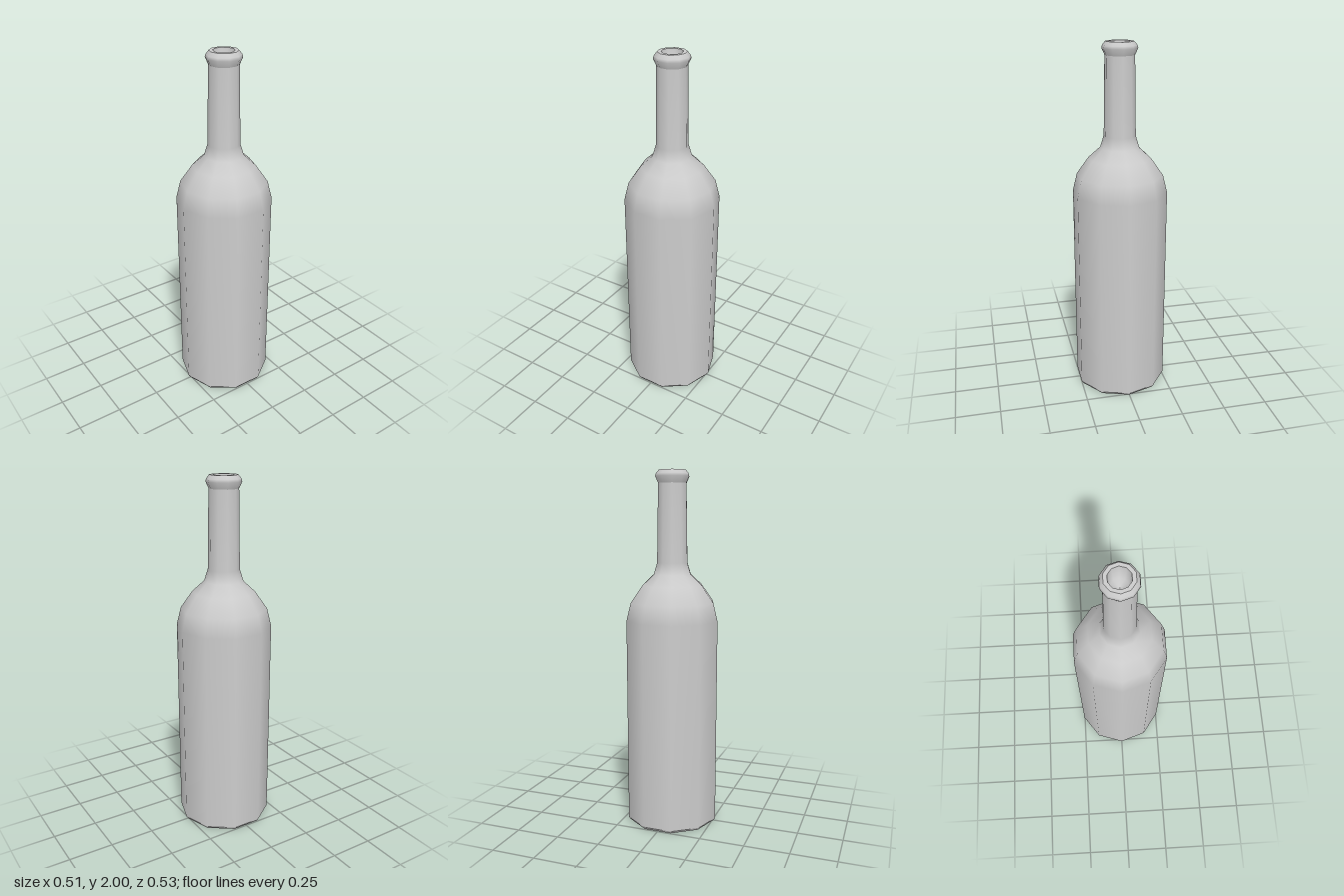
import * as THREE from 'three';

const SIDES = 10;

export function createModel() {
  const bottle = new THREE.Group();
  bottle.name = 'bottle';
  const material = new THREE.MeshStandardMaterial({ color: 0xcccccc });

  // Each section is smooth in itself; the seams between sections stay sharp.
  const sections = {
    base: [[0, 0], [0.256, 0]],
    baseBevel: [[0.256, 0], [0.266, 0.015]],
    // straight wall, rounded shoulder and slim neck
    body: [
      [0.266, 0.015], [0.266, 1.18], [0.241, 1.28], [0.174, 1.375],
      [0.108, 1.435], [0.088, 1.5], [0.081, 1.93],
    ],
    lip: [[0.081, 1.93], [0.097, 1.965], [0.093, 1.98], [0.077, 2]],
    rim: [[0.077, 2], [0.057, 2]],
    // tapered opening with a closed floor
    mouth: [[0.057, 2], [0.045, 1.91], [0, 1.9]],
  };

  for (const [name, profile] of Object.entries(sections)) {
    const points = profile.map(([r, y]) => new THREE.Vector2(r, y));
    const mesh = new THREE.Mesh(new THREE.LatheGeometry(points, SIDES), material);
    mesh.name = name;
    bottle.add(mesh);
  }
  return bottle;
}
